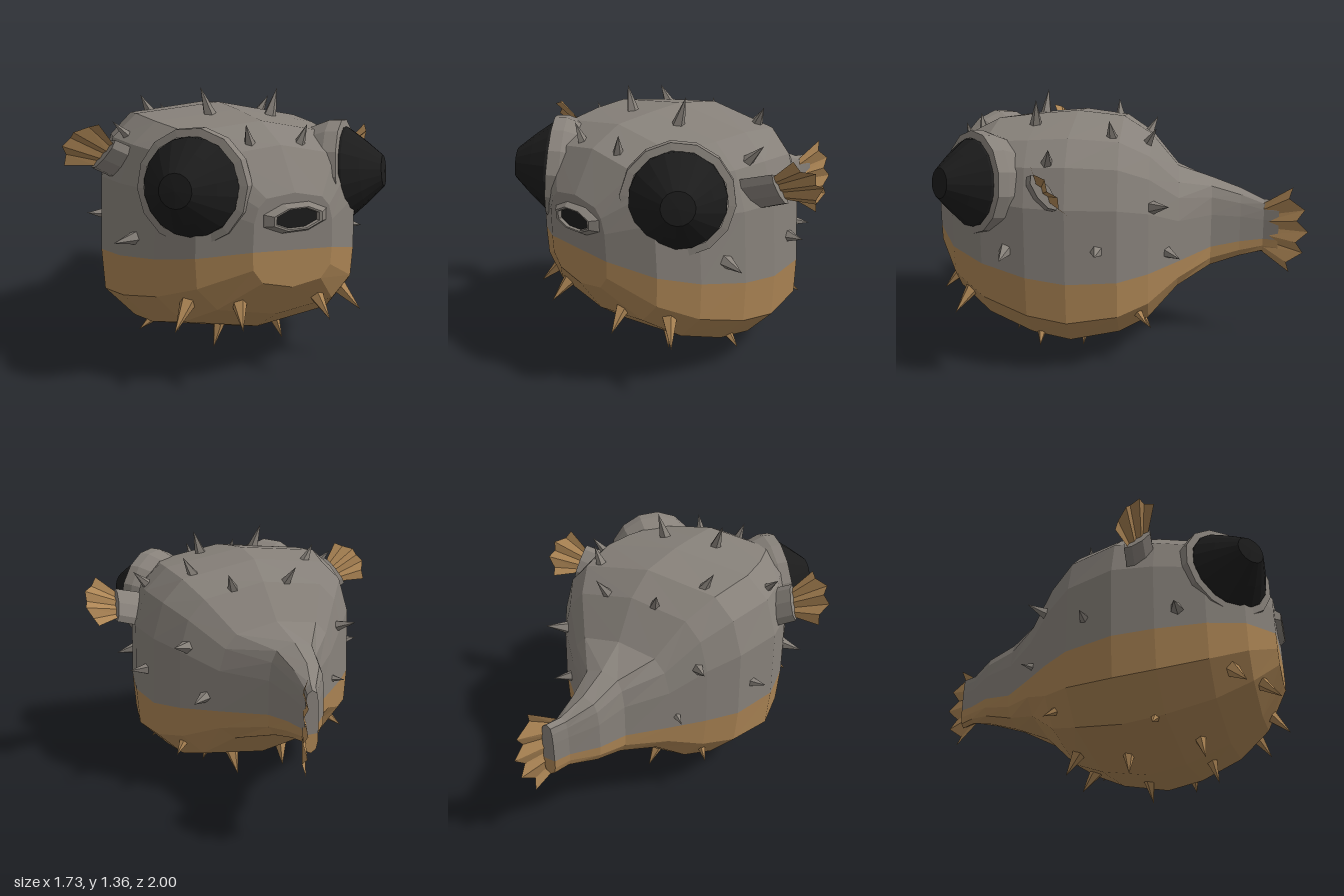
import * as THREE from 'three';

const mat = (name, color) => {
  const m = new THREE.MeshStandardMaterial({ color });
  m.name = name;
  return m;
};
const V = (a) => new THREE.Vector3(...a);
const UP = new THREE.Vector3(0, 1, 0);

// Body stations, front to back: z, centre x, half width, bottom, seam, top
const STATIONS = [
  [0.97, 0.01, 0.2, 0.515, 0.69, 0.95], [0.85, 0, 0.41, 0.34, 0.64, 1.14],
  [0.68, -0.01, 0.53, 0.21, 0.595, 1.225], [0.45, -0.02, 0.61, 0.12, 0.55, 1.25],
  [0.25, -0.03, 0.635, 0.08, 0.525, 1.265], [0, -0.02, 0.575, 0.125, 0.52, 1.24],
  [-0.15, -0.02, 0.465, 0.18, 0.525, 1.145], [-0.3, -0.04, 0.315, 0.33, 0.53, 0.965],
  [-0.48, -0.065, 0.135, 0.40, 0.54, 0.90], [-0.64, -0.065, 0.095, 0.45, 0.56, 0.84],
  [-0.77, -0.03, 0.04, 0.485, 0.57, 0.785], [-0.85, -0.005, 0.035, 0.475, 0.57, 0.785],
];
// Half profiles from seam to crown or belly: width share, height share
const UPPER = [[1, 0], [0.98, 0.5], [0.88, 0.76], [0.69, 0.915], [0, 1]];
const LOWER = [[1, 0], [0.98, 0.47], [0.74, 0.83], [0, 1]];

function flatGeometry(tris) {
  const g = new THREE.BufferGeometry().setFromPoints(tris);
  g.computeVertexNormals();
  return g;
}

// Lofts one half of the body and closes both ends
function bodyHalf(profile, isUpper) {
  const side = isUpper ? 1 : -1;
  const full = [...profile.map(([w, t]) => [side * w, t]),
    ...profile.slice(0, -1).reverse().map(([w, t]) => [-side * w, t])];
  const place = ([z, cx, w, bottom, seam, top], [u, t]) => {
    const x = cx + u * w;
    return new THREE.Vector3(x, seam + t * ((isUpper ? top : bottom) - seam) - 0.06 * x, z);
  };
  const rows = STATIONS.map((s) => full.map((p) => place(s, p)));
  const centres = STATIONS.map((s) => place(s, [0, 0]));
  const tris = [];
  const last = rows.length - 1;
  for (let j = 0; j < full.length - 1; j++) {
    for (let i = 0; i < last; i++) {
      const a = rows[i][j], b = rows[i][j + 1], c = rows[i + 1][j + 1], d = rows[i + 1][j];
      tris.push(a, d, c, a, c, b);
    }
    tris.push(centres[0], rows[0][j], rows[0][j + 1]);
    tris.push(centres[last], rows[last][j + 1], rows[last][j]);
  }
  return flatGeometry(tris);
}

// Pleated fan: x runs outward, y across, z is the pleat depth
function fanGeometry(base, spread, length, notch, folds) {
  const root = [], rim = [];
  for (let i = 0; i <= folds; i++) {
    const s = (2 * i) / folds - 1, odd = i % 2;
    root.push(new THREE.Vector3(0, s * base, odd ? 0.005 : -0.005));
    rim.push(new THREE.Vector3(length * (1 - 0.38 * s * s) - odd * notch, s * spread, odd ? 0.01 : -0.01));
  }
  const tris = [];
  for (let i = 0; i < folds; i++) tris.push(root[i], rim[i], rim[i + 1], root[i], rim[i + 1], root[i + 1]);
  return flatGeometry(tris);
}

function flatLathe(points, sides) {
  const g = new THREE.LatheGeometry(points.map((p) => new THREE.Vector2(...p)), sides).toNonIndexed();
  g.computeVertexNormals();
  return g;
}

export function createModel() {
  const model = new THREE.Group();
  const grey = mat('skin grey', 0x87817a);
  const tan = mat('belly tan', 0xab8454);
  const black = mat('eye black', 0x1c1c1c);
  const finTan = tan.clone();
  finTan.name = 'fin tan';
  finTan.side = THREE.DoubleSide;

  const add = (parent, name, geometry, material) => {
    const m = new THREE.Mesh(geometry, material);
    m.name = name;
    parent.add(m);
    return m;
  };
  const group = (name) => {
    const g = new THREE.Group();
    g.name = name;
    model.add(g);
    return g;
  };

  add(model, 'back', bodyHalf(UPPER, true), grey);
  add(model, 'belly', bodyHalf(LOWER, false), tan);

  // Eyes: raised rim and blunt conical eyeball
  const rim = [[0.235, -0.13], [0.262, -0.04], [0.258, 0.02], [0.222, 0.025]];
  const ball = [[0.222, 0], [0.218, 0.035], [0.155, 0.11], [0.075, 0.195], [0, 0.2]];
  for (const [name, pos, normal] of [
    ['leftEye', [0.42, 0.955, 0.72], [0.7, 0.12, 0.7]],
    ['rightEye', [-0.39, 0.97, 0.775], [-0.69, 0.12, 0.71]],
  ]) {
    const eye = group(name);
    add(eye, 'rim', flatLathe(rim, 14), grey);
    add(eye, 'eyeball', flatLathe(ball, 18), black);
    eye.position.set(...pos);
    eye.quaternion.setFromUnitVectors(UP, V(normal).normalize());
  }

  // Mouth: puckered lips around a dark opening
  const mouth = group('mouth');
  const lips = [[0.2, 0], [0.165, 0.035], [0.13, 0.06], [0.114, 0.058], [0.1, 0.03]];
  for (const [name, pts, m] of [['lips', lips, grey], ['opening', [[0.114, 0.044], [0, 0.044]], black]]) {
    const g = flatLathe(pts, 8);
    g.rotateY(Math.PI / 8);
    g.rotateX(Math.PI / 2);
    g.scale(1, 0.42, 1);
    add(mouth, name, g, m);
  }
  mouth.position.set(0.015, 0.838, 0.94);

  // Fins: each frame is set by an outward and an across direction
  function fin(name, pos, out, across, size, hasRoot) {
    const f = group(name);
    const x = V(out).normalize();
    const z = x.clone().cross(V(across)).normalize();
    f.quaternion.setFromRotationMatrix(new THREE.Matrix4().makeBasis(x, z.clone().cross(x), z));
    f.position.set(...pos);
    add(f, 'fan', fanGeometry(...size), finTan);
    if (!hasRoot) return;
    const g = new THREE.CylinderGeometry(0.1, 0.105, 0.16, 8).toNonIndexed();
    g.rotateZ(-Math.PI / 2);
    g.scale(1, 1, 0.36);
    g.translate(-0.07, 0, 0);
    g.computeVertexNormals();
    add(f, 'finRoot', g, grey);
  }
  const sideFin = [0.075, 0.145, 0.21, 0.025, 6];
  fin('leftFin', [0.675, 0.965, 0.33], [0.93, 0.28, -0.3], [-0.2, 0.75, 0.62], sideFin, true);
  fin('rightFin', [-0.67, 1.065, 0.39], [-0.88, 0.47, 0.1], [0.45, 0.7, 0.55], sideFin, true);
  fin('tailFin', [0, 0.63, -0.77], [0.37, 0, -1], [0, 1, 0], [0.14, 0.24, 0.245, 0.055, 8], false);

  // Spines: base point and tip, repeated on both sides
  const greySpines = [
    [[0.16, 1.22, 0.45], [0.2, 1.345, 0.44]], [[0.31, 1.17, 0.04], [0.36, 1.26, 0.05]],
    [[0.14, 1.11, -0.13], [0.18, 1.2, -0.18]], [[0.12, 1.12, 0.8], [0.15, 1.22, 0.82]],
    [[0.5, 1.07, 0.34], [0.58, 1.15, 0.32]], [[0.57, 0.64, 0.55], [0.66, 0.62, 0.56]],
    [[0.58, 0.65, 0.1], [0.66, 0.65, 0.1]], [[0.42, 0.84, -0.18], [0.49, 0.86, -0.25]],
    [[0.34, 0.58, -0.25], [0.41, 0.57, -0.31]],
  ];
  const tanSpines = [
    [[0.2, 0.4, 0.89], [0.22, 0.32, 0.97]], [[0.41, 0.37, 0.78], [0.48, 0.28, 0.84]],
    [[0.15, 0.19, 0.55], [0.19, 0.07, 0.58]], [[0.42, 0.19, 0.4], [0.5, 0.12, 0.4]],
    [[0.2, 0.12, 0.2], [0.235, 0.005, 0.21]], [[0.14, 0.16, -0.1], [0.13, 0.07, -0.16]],
    [[0.41, 0.29, -0.09], [0.47, 0.23, -0.15]],
  ];
  for (const [name, list, m] of [['backSpines', greySpines, grey], ['bellySpines', tanSpines, tan]]) {
    const spines = group(name);
    for (const [a, b] of list) for (const side of [1, -1]) {
      const base = V(a), tip = V(b);
      // The far side sits slightly wider and higher, following the body's lean
      if (side < 0) for (const p of [base, tip]) {
        p.y += 0.1 * p.x;
        p.x *= -1.05;
      }
      const dir = tip.clone().sub(base);
      const len = dir.length() + 0.04;
      dir.normalize();
      const g = new THREE.ConeGeometry(0.041, len, 5).toNonIndexed();
      g.computeVertexNormals();
      const s = add(spines, 'spine', g, m);
      s.quaternion.setFromUnitVectors(UP, dir);
      s.position.copy(tip).addScaledVector(dir, -len / 2);
    }
  }
  return model;
}
